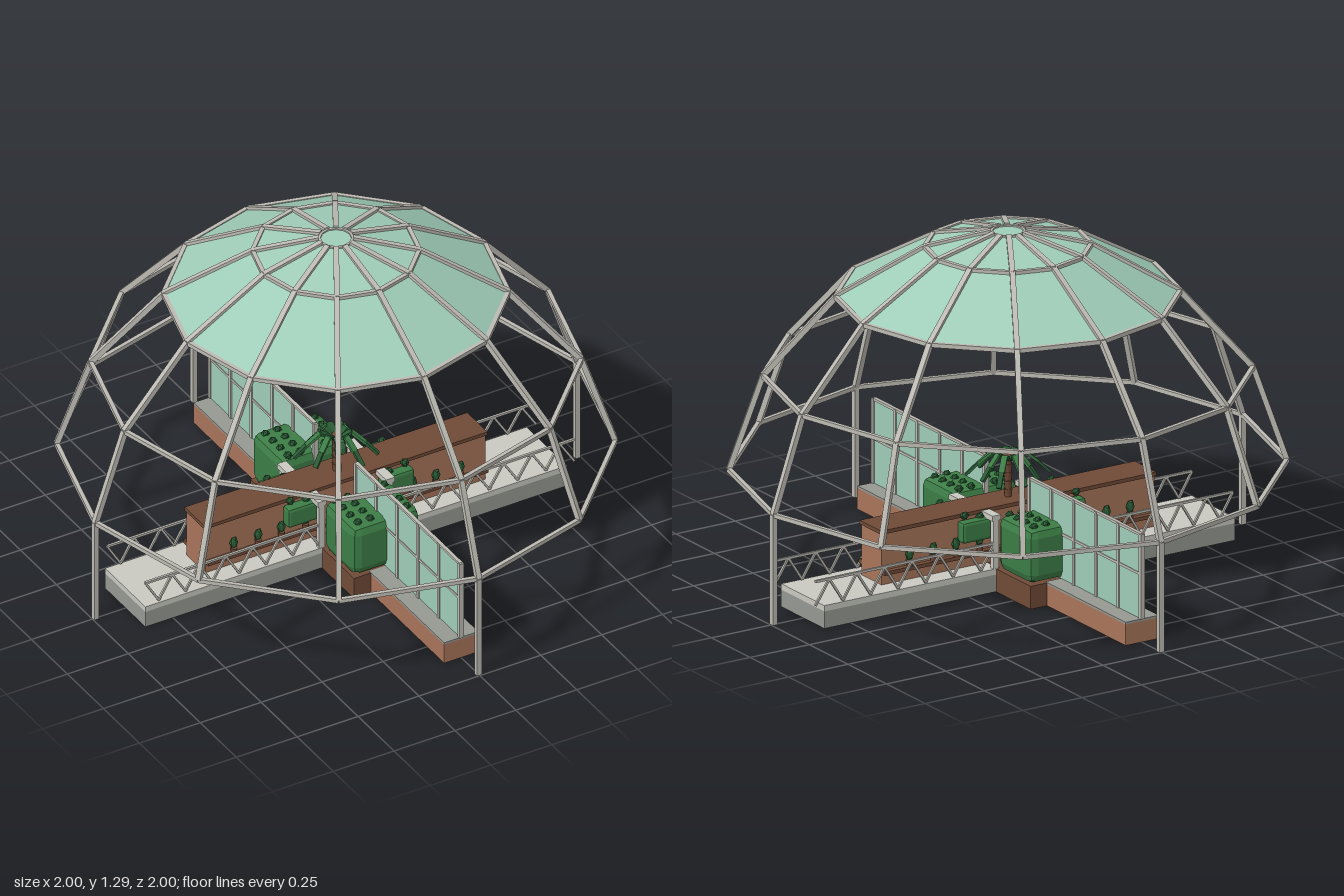
import * as THREE from 'three';
import { RoundedBoxGeometry } from 'three/addons/geometries/RoundedBoxGeometry.js';

const mat = (name, color, side = THREE.FrontSide) => {
  const m = new THREE.MeshStandardMaterial({ color, side });
  m.name = name;
  return m;
};

export function createModel() {
  const model = new THREE.Group();
  model.name = 'botanicalDome';

  const frame = mat('pale metal', 0xbcbab2);
  const glass = mat('green glass', 0x9fcdb8, THREE.DoubleSide);
  const concrete = mat('grey concrete', 0x969892);
  const paving = mat('light paving', 0xc9c9c1);
  const brick = mat('brick', 0xa8745a);
  const darkBrick = mat('dark brick', 0x704a36);
  const hedgeGreen = mat('hedge green', 0x3c7d46);
  const leafGreen = mat('dark leaf green', 0x2a5c35);

  const group = (name, parent = model) => {
    const g = new THREE.Group();
    g.name = name;
    parent.add(g);
    return g;
  };
  const add = (parent, name, geo, material, x = 0, y = 0, z = 0) => {
    const m = new THREE.Mesh(geo, material);
    m.name = name;
    m.position.set(x, y, z);
    parent.add(m);
    return m;
  };
  // Box given by its minimum and maximum corners
  const box = (parent, name, material, x0, x1, y0, y1, z0, z1) =>
    add(parent, name, new THREE.BoxGeometry(x1 - x0, y1 - y0, z1 - z0), material,
      (x0 + x1) / 2, (y0 + y1) / 2, (z0 + z1) / 2);
  // Square bar between two points
  const beam = (parent, name, material, a, b, w, h = w) => {
    const m = add(parent, name, new THREE.BoxGeometry(w, h, a.distanceTo(b)), material);
    m.position.copy(a).lerp(b, 0.5);
    m.lookAt(b);
    return m;
  };
  const flat = (geo) => {
    const g = geo.index ? geo.toNonIndexed() : geo;
    g.computeVertexNormals();
    return g;
  };
  const V = (x, y, z) => new THREE.Vector3(x, y, z);
  const polar = (r, y, a) => V(r * Math.sin(a), y, r * Math.cos(a));

  // Dome frame: twelve ribs and five rings
  const rings = [[0.988, 0.41], [0.868, 0.76], [0.61, 1.05], [0.295, 1.23], [0.06, 1.283]];
  const dome = group('domeFrame');
  const step = Math.PI / 6;
  for (let i = 0; i < 12; i++) {
    rings.forEach(([r, y], k) => {
      const p = polar(r, y, i * step);
      beam(dome, 'ringBar', frame, p, polar(r, y, (i + 1) * step), k === 4 ? 0.01 : 0.016);
      if (k < 4) beam(dome, 'rib', frame, p, polar(rings[k + 1][0], rings[k + 1][1], i * step), 0.02);
    });
  }
  for (let i = 0; i < 4; i++) {
    const p = polar(0.988, 0, i * Math.PI / 2);
    box(dome, 'post', frame, p.x - 0.01, p.x + 0.01, 0, 0.41, p.z - 0.01, p.z + 0.01);
  }

  // Glazed crown
  const crown = group('glassCrown');
  for (const k of [2, 3]) {
    const [r0, y0] = rings[k], [r1, y1] = rings[k + 1];
    add(crown, 'glassBand', flat(new THREE.CylinderGeometry(r1, r0, y1 - y0, 12, 1, true)),
      glass, 0, (y0 + y1) / 2, 0);
  }
  add(crown, 'glassCap', new THREE.CircleGeometry(0.06, 12), glass, 0, 1.283, 0).rotation.x = -Math.PI / 2;

  // Crossing floors
  const floor = group('floor');
  for (const s of [-1, 1]) {
    const span = (a, b) => (s > 0 ? [a, b] : [-b, -a]);
    box(floor, 'walkwayBase', concrete, ...span(0.13, 0.865), 0.002, 0.066, -0.14, 0.14);
    box(floor, 'walkwayPaving', paving, ...span(0.13, 0.865), 0.066, 0.088, -0.14, 0.14);
    box(floor, 'brickArm', brick, -0.07, 0.07, 0.001, 0.08, ...span(0.35, 0.87));
    box(floor, 'brickArmTop', concrete, -0.07, 0.07, 0.08, 0.088, ...span(0.35, 0.87));
  }
  box(floor, 'planterBase', darkBrick, -0.139, 0.139, 0, 0.086, -0.36, 0.36);

  // Long brick wall with coping, ledge and potted plants
  const wall = group('brickWall');
  box(wall, 'wallBody', brick, -0.575, 0.575, 0, 0.28, -0.065, 0.065);
  box(wall, 'coping', darkBrick, -0.58, 0.58, 0.278, 0.292, -0.07, 0.07);
  for (const s of [-1, 1]) {
    box(wall, 'ledge', darkBrick, -0.575, 0.575, 0.128, 0.142, s * 0.074 - 0.012, s * 0.074 + 0.012);
    for (const x of [0.17, 0.27, 0.365, 0.465]) {
      for (const t of [-1, 1]) {
        add(wall, 'pot', new THREE.CylinderGeometry(0.013, 0.01, 0.025, 8), darkBrick, t * x, 0.153, s * 0.077);
        const bush = add(wall, 'wallPlant', new THREE.IcosahedronGeometry(0.02, 0), leafGreen, t * x, 0.187, s * 0.077);
        bush.scale.set(0.85, 1.3, 0.6);
      }
    }
  }

  // Glass partitions with mullions
  for (const s of [-1, 1]) {
    const part = group('glassPartition');
    const z0 = 0.145, z1 = 0.868, mid = s * (z0 + z1) / 2;
    box(part, 'pane', glass, -0.004, 0.004, 0.088, 0.402, mid - (z1 - z0) / 2, mid + (z1 - z0) / 2);
    for (let i = 0; i < 6; i++) {
      const z = s * (z0 + (z1 - z0) * i / 5);
      box(part, 'mullion', frame, -0.009, 0.009, 0.088, 0.405, z - 0.007, z + 0.007);
    }
    for (const y of [0.255, 0.402])
      beam(part, 'transom', frame, V(0, y, s * z0), V(0, y, s * z1), 0.014, 0.01);
  }

  // Clipped hedges with leaf clumps, side bushes and entrance frames
  const garden = group('hedges');
  const clump = (x, y, z, r = 0.016) =>
    add(garden, 'leafClump', new THREE.IcosahedronGeometry(r, 0), leafGreen, x, y, z);
  for (const s of [-1, 1]) {
    add(garden, 'hedge', flat(new RoundedBoxGeometry(0.28, 0.205, 0.22, 1, 0.034)), hedgeGreen, 0, 0.188, s * 0.25);
    for (let i = 0; i < 4; i++)
      for (const x of [-0.1, -0.05, 0.05, 0.1]) clump(x, 0.29, s * (0.165 + i * 0.052));
    for (const t of [-1, 1]) {
      add(garden, 'sideBush', flat(new RoundedBoxGeometry(0.13, 0.08, 0.045, 1, 0.012)), hedgeGreen,
        t * 0.195, 0.23, s * 0.088);
      clump(t * 0.235, 0.287, s * 0.08);
      clump(t * 0.17, 0.272, s * 0.08);
      box(garden, 'entrancePost', paving, t * 0.14 - 0.012, t * 0.14 + 0.012, 0.086, 0.27, s * 0.13 - 0.009, s * 0.13 + 0.009);
      box(garden, 'entranceLintel', paving, t * 0.14 - 0.018, t * 0.14 + 0.018, 0.268, 0.288, s * 0.105 - 0.037, s * 0.105 + 0.037);
    }
  }

  // Palm with drooping fronds
  const palm = group('palm');
  for (let i = 0; i < 5; i++)
    add(palm, 'trunkRing', new THREE.CylinderGeometry(0.016, 0.012, 0.032, 8), darkBrick, 0, 0.305 + i * 0.031, 0);
  for (let i = 0; i < 9; i++) {
    const a = i * Math.PI * 2 / 9 + 0.25;
    const len = 1 + 0.15 * Math.sin(i * 2.3);
    const pts = [[0.005, 0.43], [0.05, 0.458], [0.095, 0.415], [0.135, 0.37]].map(([r, y]) => polar(r * len, y, a));
    for (let k = 0; k < 3; k++)
      beam(palm, 'frond', k === 1 ? hedgeGreen : leafGreen, pts[k], pts[k + 1], 0.026 - k * 0.004, 0.01);
  }

  // Zigzag railings along the walkway
  for (const z of [-0.135, 0.13]) {
    for (const [x0, x1] of [[-0.86, -0.145], [0.145, 0.9]]) {
      const rail = group('railing');
      beam(rail, 'handrail', frame, V(x0, 0.183, z), V(x1, 0.183, z), 0.009);
      const n = 13, d = (x1 - x0) / n;
      for (let i = 0; i < n; i++) {
        const up = i % 2 === 0;
        beam(rail, 'railBrace', frame, V(x0 + i * d, up ? 0.183 : 0.092, z),
          V(x0 + (i + 1) * d, up ? 0.092 : 0.183, z), 0.008);
      }
    }
  }
  return model;
}
